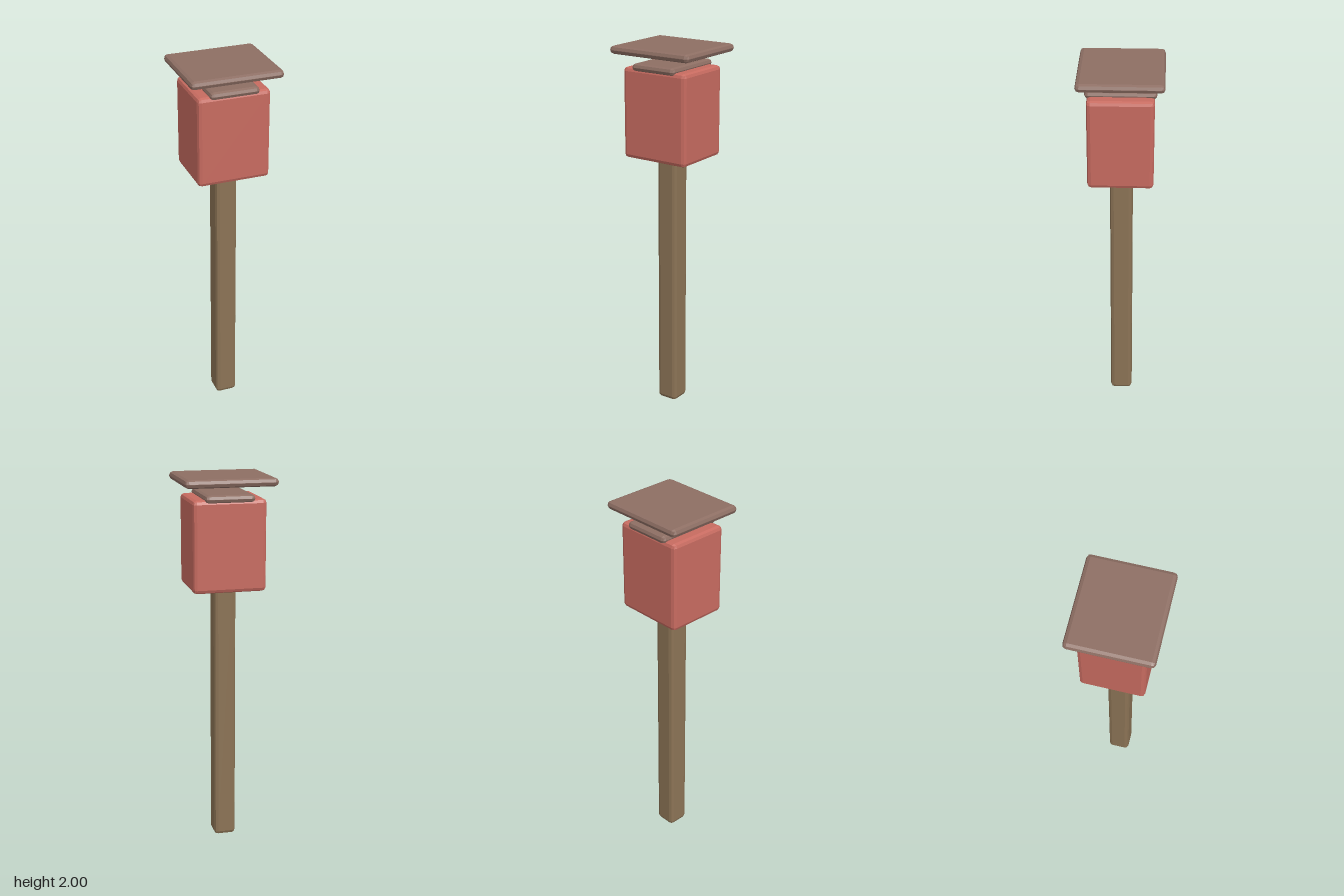
import * as THREE from 'three';
import { RoundedBoxGeometry } from 'three/addons/geometries/RoundedBoxGeometry.js';

// Box with faceted rounded edges, placed by its bottom and top heights
function block(name, color, width, depth, bottom, top, radius) {
  const geometry = new RoundedBoxGeometry(width, top - bottom, depth, 1, radius);
  const material = new THREE.MeshStandardMaterial({ color, flatShading: true });
  const mesh = new THREE.Mesh(geometry, material);
  mesh.name = name;
  mesh.position.y = (bottom + top) / 2;
  return mesh;
}

export function createModel() {
  const group = new THREE.Group();
  group.name = 'postBox';

  const wood = 0x8b7355, brown = 0x8d6e63, red = 0xc76b60;

  group.add(
    // Square wooden post
    block('post', wood, 0.118, 0.118, 0, 1.43, 0.02),
    // Red box on top of the post
    block('box', red, 0.386, 0.336, 1.41, 1.89, 0.02),
    // Narrow plate lying through the top of the box
    block('topPlate', brown, 0.262, 0.36, 1.875, 1.915, 0.0195),
    // Flat roof floating above
    block('roof', brown, 0.486, 0.436, 1.957, 2, 0.0205),
  );
  return group;
}
